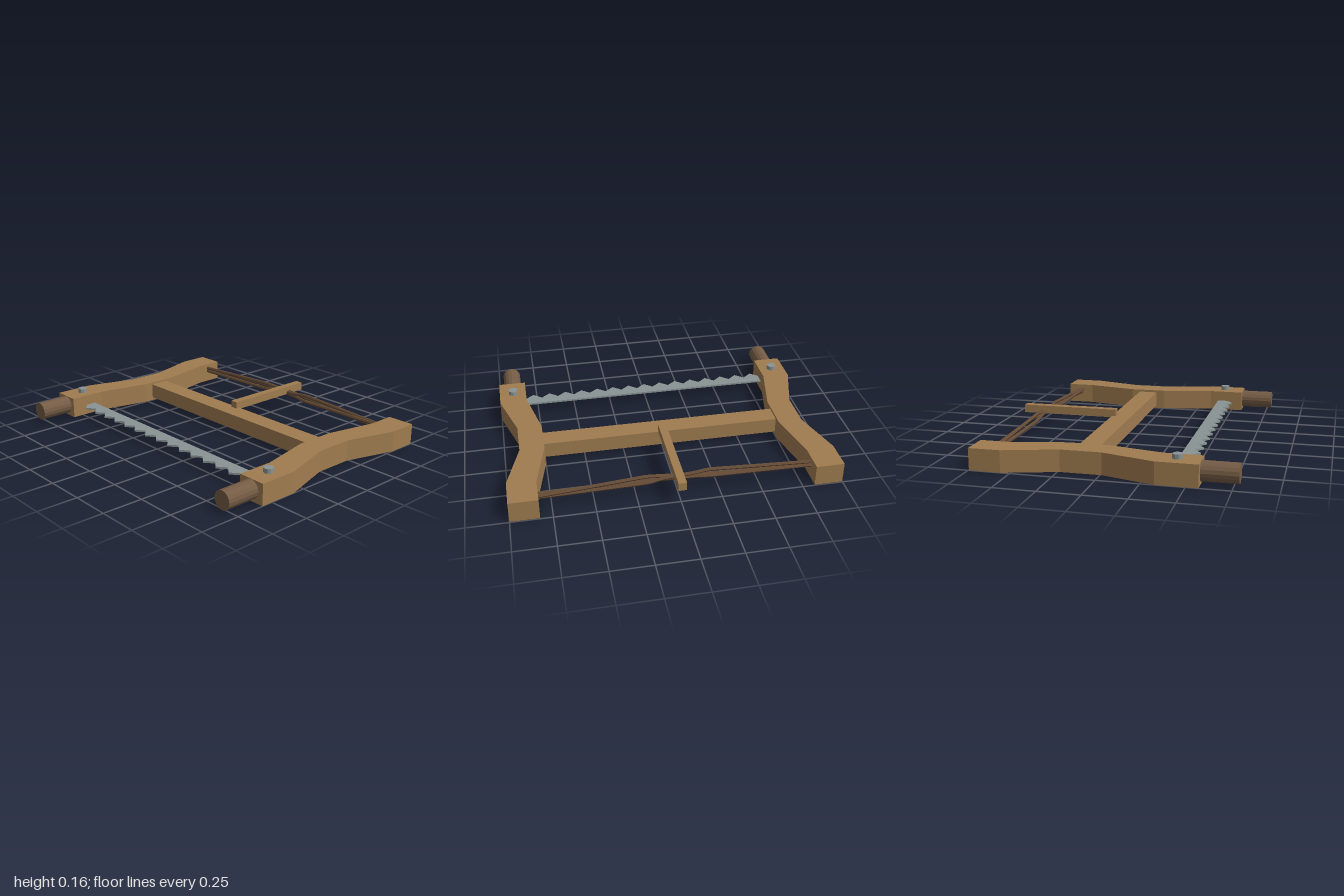
import * as THREE from 'three';

const mat = (color) => new THREE.MeshStandardMaterial({ color, flatShading: true });
const wood = mat(0xa07c50);
const darkWood = mat(0x755c45);
const metal = mat(0x8a9494);
const cord = mat(0x664c36);

function add(parent, name, geometry, material, x = 0, y = 0, z = 0) {
  const mesh = new THREE.Mesh(geometry, material);
  mesh.name = name;
  mesh.position.set(x, y, z);
  parent.add(mesh);
  return mesh;
}

// Plate with an outline given as [x, z], rising from y = 0
function plate(outline, height) {
  const shape = new THREE.Shape(outline.map(([x, z]) => new THREE.Vector2(x, -z)));
  return new THREE.ExtrudeGeometry(shape, { depth: height, bevelEnabled: false }).rotateX(-Math.PI / 2);
}

export function createModel() {
  const saw = new THREE.Group();
  saw.name = 'frameSaw';

  // Side arms, each with a handle and a blade bolt
  const armOutline = [
    [0.825, -0.745], [1, -0.745], [1, -0.555], [0.905, -0.235], [0.905, 0.01], [1, 0.33],
    [1, 0.572], [0.825, 0.572], [0.825, 0.345], [0.752, 0.01], [0.752, -0.235], [0.825, -0.57],
  ];
  for (const [side, label] of [[1, 'left'], [-1, 'right']]) {
    const arm = new THREE.Group();
    arm.name = label + 'Side';
    add(arm, label + 'Arm', plate(armOutline.map(([x, z]) => [side * x, z]), 0.132), wood);
    const handle = new THREE.CylinderGeometry(0.058, 0.058, 0.24, 16).rotateX(Math.PI / 2);
    add(arm, label + 'Handle', handle, darkWood, side * 0.91, 0.072, 0.663);
    add(arm, label + 'Bolt', new THREE.CylinderGeometry(0.03, 0.03, 0.08, 10), metal, side * 0.91, 0.12, 0.44);
    saw.add(arm);
  }

  // Stretcher between the arms and the tensioning stick
  add(saw, 'crossbar', new THREE.BoxGeometry(1.52, 0.098, 0.127), wood, 0, 0.068, -0.113);
  add(saw, 'tensionStick', new THREE.BoxGeometry(0.05, 0.052, 0.633), wood, 0, 0.134, -0.467);

  // Blade with a row of teeth along its front edge
  const teeth = 15, half = 0.83, pitch = (2 * half) / teeth;
  const bladeOutline = [[half, 0.4], [-half, 0.4]];
  for (let i = 0; i < teeth; i++) {
    const x = -half + i * pitch;
    bladeOutline.push([x, 0.462], [x + pitch / 2, 0.507]);
  }
  bladeOutline.push([half, 0.462]);
  add(saw, 'blade', plate(bladeOutline, 0.012), metal, 0, 0.053, 0);

  // Twisted cord: straight strands through stations [x, y, spread, turn]
  const stations = [
    [-0.84, 0.09, 0.013, 0], [-0.18, 0.113, 0.022, 0.1], [-0.1, 0.115, 0.012, 0.25],
    [0.1, 0.115, 0.012, 0.6], [0.18, 0.113, 0.022, 0.8], [0.84, 0.09, 0.013, 1.25],
  ];
  const rope = new THREE.Group();
  rope.name = 'twistedCord';
  for (let s = 0; s < 3; s++) {
    const points = stations.map(([x, y, spread, turn]) => {
      const a = Math.PI * (0.3 + turn + (2 * s) / 3);
      return new THREE.Vector3(x, y + spread * Math.sin(a), -0.652 + spread * Math.cos(a));
    });
    const path = new THREE.CurvePath();
    for (let i = 1; i < points.length; i++) path.add(new THREE.LineCurve3(points[i - 1], points[i]));
    add(rope, 'strand' + (s + 1), new THREE.TubeGeometry(path, 42, 0.011, 6), cord);
  }
  saw.add(rope);

  return saw;
}
